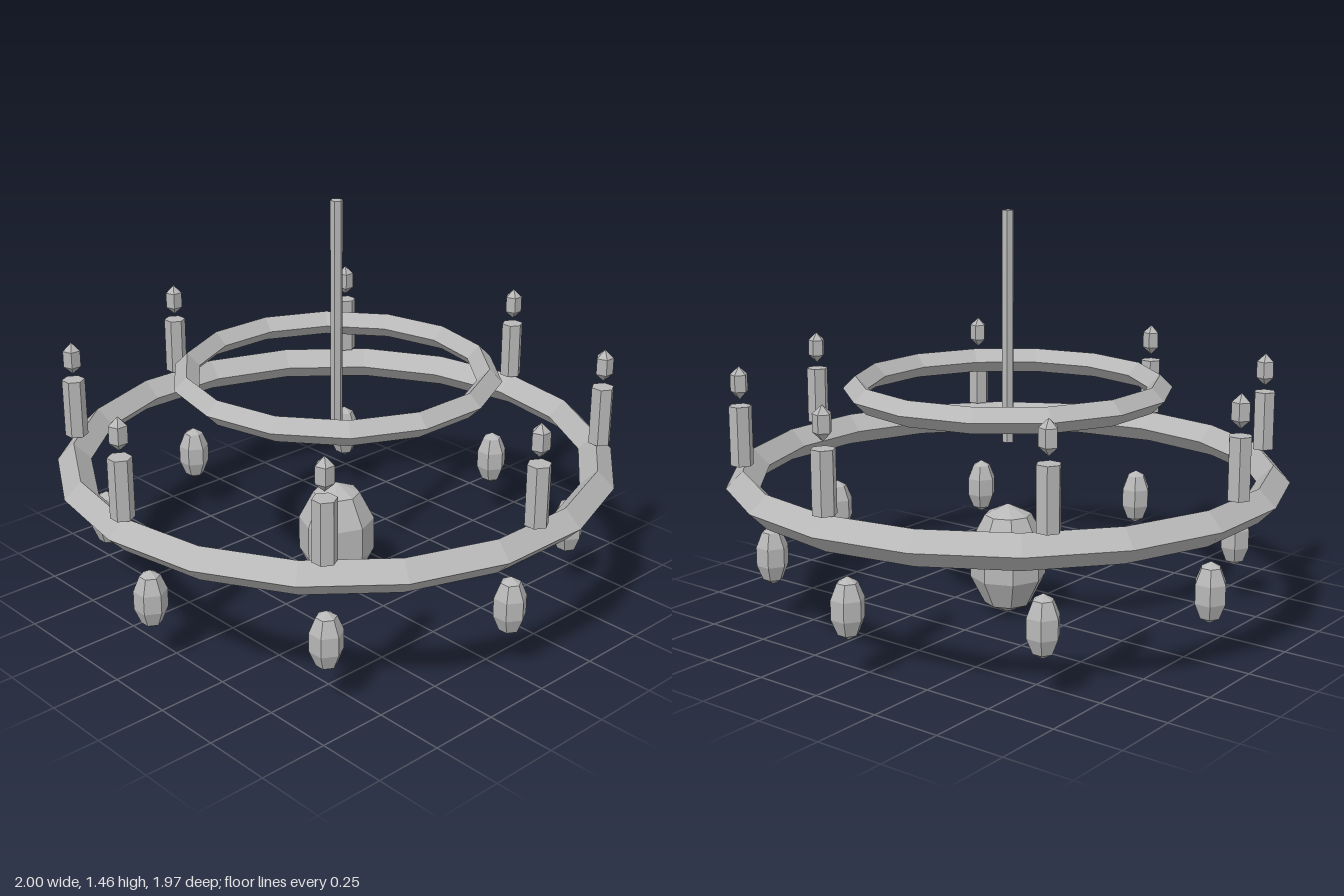
import * as THREE from 'three';

export function createModel() {
  const model = new THREE.Group();
  model.name = 'chandelier';

  const iron = new THREE.MeshStandardMaterial({ color: 0xb8b8b8 });
  iron.name = 'pale grey';
  iron.flatShading = true;

  const add = (name, geometry, x, y, z) => {
    const mesh = new THREE.Mesh(geometry, iron);
    mesh.name = name;
    mesh.position.set(x, y, z);
    model.add(mesh);
  };

  // Faceted, vertically stretched sphere with a corner pointing to the back
  const ellipsoid = (radius, halfHeight, sides, rows) =>
    new THREE.SphereGeometry(1, sides, rows)
      .rotateY(-Math.PI / 2)
      .scale(radius, halfHeight, radius);

  // Ring with a diamond-shaped section
  const ring = (radius, tube, sides) =>
    new THREE.TorusGeometry(radius, tube, 4, sides).rotateX(Math.PI / 2);

  // Rings, hanging rod and central globe
  add('lowerRing', ring(0.94, 0.06, 18), 0, 0.523, 0);
  add('upperRing', ring(0.54, 0.045, 14), 0, 0.836, 0);
  add('hangingRod', new THREE.CylinderGeometry(0.022, 0.022, 0.825, 6), 0, 1.052, 0);
  add('centralGlobe', ellipsoid(0.145, 0.205, 8, 5), 0, 0.205, 0);

  // Eight candles with flames, and eight drops hanging below
  const candle = new THREE.CylinderGeometry(0.041, 0.041, 0.212, 6);
  const flame = ellipsoid(0.037, 0.059, 5, 3);
  const drop = ellipsoid(0.061, 0.108, 6, 5);
  for (let i = 0; i < 8; i++) {
    const a = (i * Math.PI) / 4;
    const c = Math.cos(a), s = Math.sin(a);
    add('candle', candle, 0.94 * c, 0.691, 0.94 * s);
    add('flame', flame, 0.94 * c, 0.878, 0.94 * s);
    add('hangingDrop', drop, 0.846 * c, 0.25, 0.846 * s);
  }

  return model;
}
